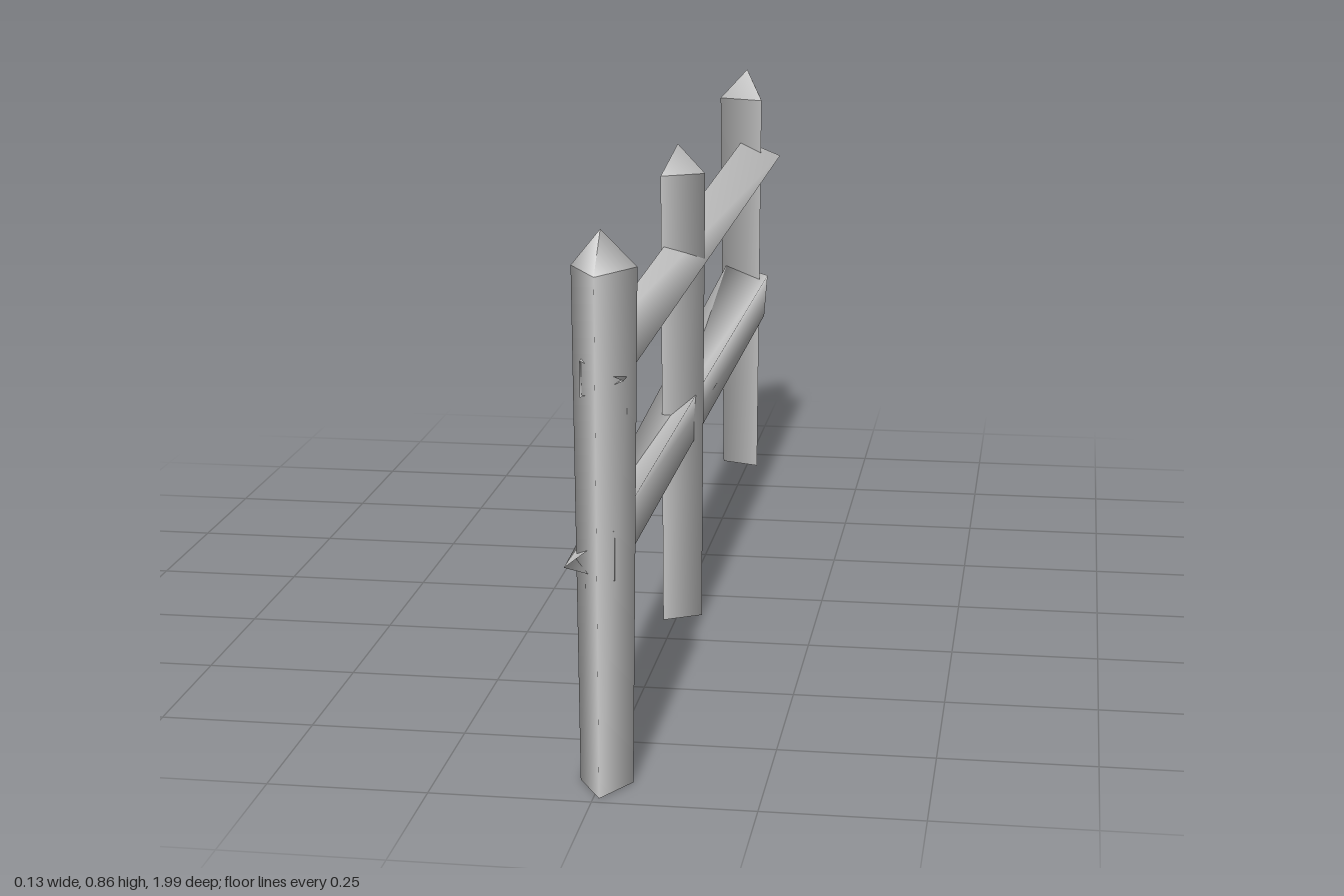
import * as THREE from 'three';

const material = new THREE.MeshStandardMaterial({ color: 0xcccccc, side: THREE.DoubleSide });

// Three-sided tapered post with a pointed cap; angle turns its corners about y
function makePost(name, x, z, rTop, rBottom, height, angle) {
  const post = new THREE.Group();
  post.name = name;
  const theta = THREE.MathUtils.degToRad(angle);
  const shaft = new THREE.Mesh(
    new THREE.CylinderGeometry(rTop, rBottom, height, 3, 1, true, theta), material);
  shaft.name = 'postShaft';
  shaft.position.y = height / 2;
  const tipHeight = 0.857 - height;
  const tip = new THREE.Mesh(
    new THREE.ConeGeometry(rTop, tipHeight, 3, 1, true, theta), material);
  tip.name = 'postTip';
  tip.position.y = height + tipHeight / 2;
  post.add(shaft, tip);
  post.position.set(x, 0, z);
  return post;
}

// Open three-sided rail lofted between a front and a back section of [x, y] corners
function makeRail(name, front, back) {
  const end = 0.957;
  const positions = [
    ...front.flatMap(([x, y]) => [x, y, end]),
    ...back.flatMap(([x, y]) => [x, y, -end]),
  ];
  const index = [];
  for (let i = 0; i < 3; i++) {
    const j = (i + 1) % 3;
    index.push(i, i + 3, j, j, i + 3, j + 3);
  }
  const geometry = new THREE.BufferGeometry();
  geometry.setAttribute('position', new THREE.Float32BufferAttribute(positions, 3));
  geometry.setIndex(index);
  geometry.computeVertexNormals();
  const rail = new THREE.Mesh(geometry, material);
  rail.name = name;
  return rail;
}

export function createModel() {
  const fence = new THREE.Group();
  fence.name = 'fence';

  // Posts
  fence.add(
    makePost('frontPost', 0.009, 0.938, 0.057, 0.047, 0.797, 0),
    makePost('middlePost', 0, 0.113, 0.048, 0.043, 0.806, 90),
    makePost('backPost', -0.008, -0.945, 0.056, 0.047, 0.797, 40),
  );

  // Rails, running through all the posts
  fence.add(
    makeRail('upperRail',
      [[0.045, 0.637], [-0.02, 0.665], [-0.02, 0.61]],
      [[0.062, 0.673], [-0.018, 0.705], [-0.018, 0.652]]),
    makeRail('lowerRail',
      [[-0.046, 0.35], [0.03, 0.333], [0.03, 0.41]],
      [[-0.05, 0.437], [0.03, 0.323], [0.037, 0.412]]),
  );
  return fence;
}
